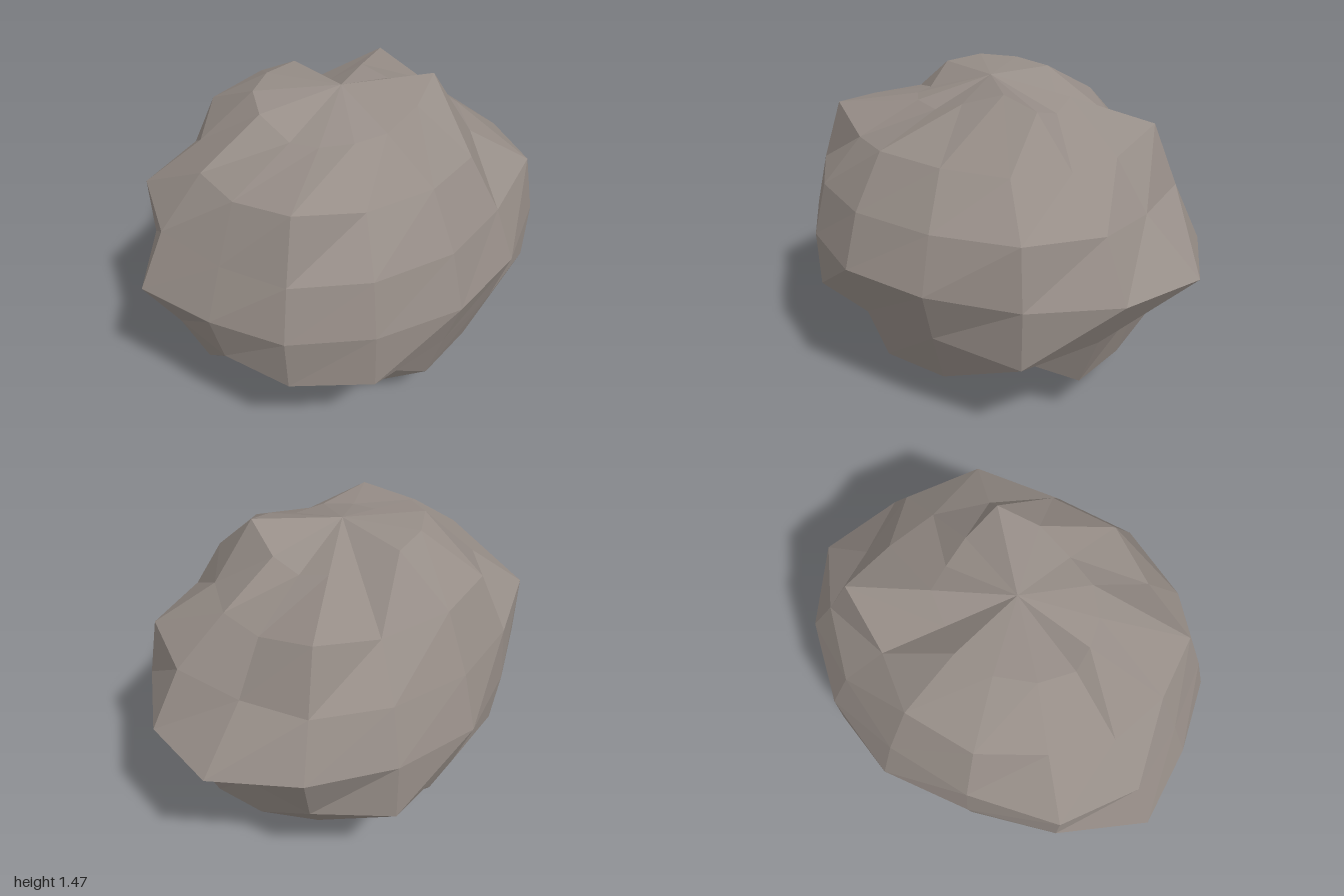
import * as THREE from 'three';

// Radius of the rock along each meridian (starting at +x, turning towards +z),
// one row per ring from just under the top to just above the bottom.
const TOP = 1.015, BOTTOM = 1.03;
const RINGS = [
  [0.92, 0.985, 1.15, 1.05, 0.95, 0.95, 0.93, 0.914, 1.05, 1.085, 1.08, 1.06, 0.89, 0.975],
  [0.93, 0.91, 0.90, 0.98, 1.00, 0.93, 1.07, 1.00, 0.98, 0.96, 1.05, 1.05, 0.92, 1.08],
  [0.88, 0.965, 1.025, 0.92, 0.94, 0.92, 0.92, 0.88, 0.97, 1.04, 0.955, 0.95, 0.93, 0.95],
  [1.08, 1.04, 0.995, 0.95, 0.95, 0.914, 0.91, 0.90, 1.02, 0.95, 0.90, 0.96, 0.963, 1.00],
  [0.86, 0.94, 1.055, 0.92, 0.91, 0.98, 0.955, 0.90, 0.935, 0.94, 0.93, 0.915, 1.04, 0.96],
  [1.00, 1.05, 0.875, 1.03, 1.03, 0.88, 0.94, 0.87, 1.055, 0.825, 0.98, 1.00, 0.87, 0.98],
  [0.87, 0.94, 0.89, 1.00, 1.05, 1.10, 0.96, 0.92, 1.04, 0.89, 0.97, 1.02, 1.12, 0.98],
];
const SIDES = 14, STACKS = 8;

export function createModel() {
  const group = new THREE.Group();
  group.name = 'rock';

  const stone = new THREE.MeshStandardMaterial({ color: 0x968d87 });
  stone.name = 'warm grey stone';

  // Push each vertex of a coarse sphere in or out
  const sphere = new THREE.SphereGeometry(1, SIDES, STACKS);
  const pos = sphere.attributes.position;
  for (let i = 0; i < pos.count; i++) {
    const row = Math.floor(i / (SIDES + 1));
    const meridian = (i % (SIDES + 1)) % SIDES;
    const r = row === 0 ? TOP : row === STACKS ? BOTTOM : RINGS[row - 1][meridian];
    pos.setXYZ(i, pos.getX(i) * r, pos.getY(i) * r, pos.getZ(i) * r);
  }

  // Flatten and mirror so meridians start at +x; reversed corners keep faces outward
  sphere.scale(-1, 0.7, 0.85);
  sphere.index.array.reverse();
  sphere.translate(-0.08, 0.73, 0);

  // Separate faces give hard facets
  const facets = sphere.toNonIndexed();
  facets.computeVertexNormals();

  const boulder = new THREE.Mesh(facets, stone);
  boulder.name = 'boulder';
  group.add(boulder);
  return group;
}
